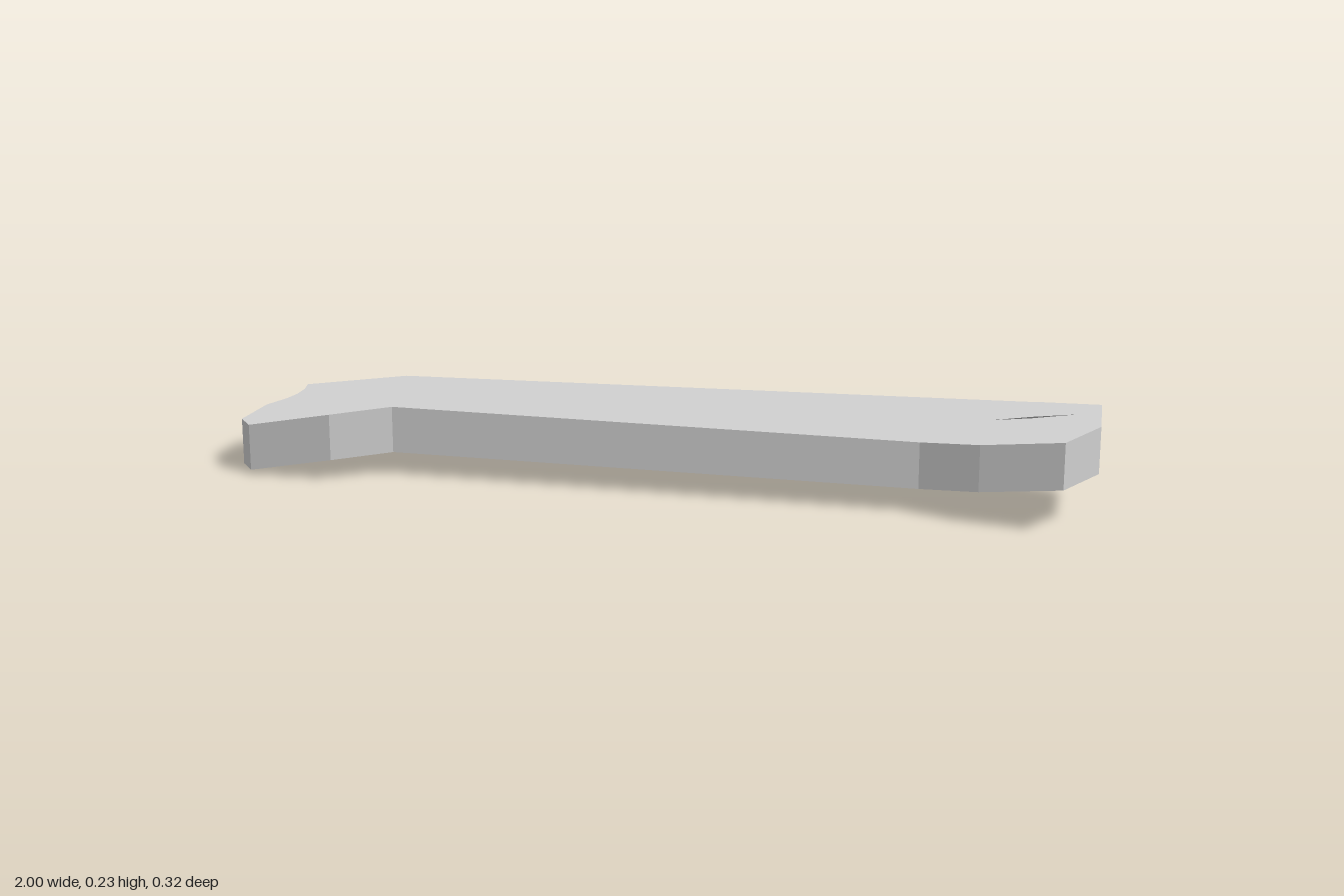
import * as THREE from 'three';

// Outline of the bar's underside: x, y, z, anticlockwise from above
const outline = [
  // scooped notch
  [-0.91, 0.02, -0.125], [-0.905, 0.021, -0.09], [-0.913, 0.019, -0.055], [-0.93, 0.016, -0.027], [-0.97, 0.007, 0],
  // drooping end
  [-1, 0, 0.09], [-0.96, 0.01, 0.152], [-0.76, 0.053, 0.16], [-0.63, 0.058, 0.09],
  // raised end
  [0.6, 0.06, 0.07], [0.74, 0.08, 0.113], [0.93, 0.11, 0.14], [1, 0.12, 0.047],
  [0.99, 0.12, -0.1], [0.84, 0.095, -0.16], [0.66, 0.067, -0.115], [-0.66, 0.06, -0.125],
];
const thickness = 0.112;

// How the bent top and bottom fold into facets
const topFacets = [
  [13, 14, 15], [13, 15, 16], [9, 13, 16], [9, 10, 13], [10, 11, 13], [11, 12, 13], [5, 8, 9], [5, 9, 16],
  [5, 6, 7], [5, 7, 8], [0, 1, 16], [1, 2, 16], [2, 3, 16], [3, 4, 16], [4, 5, 16],
];
const bottomFacets = [
  [12, 13, 14], [12, 14, 15], [9, 10, 12], [10, 11, 12], [0, 15, 16], [0, 12, 15], [0, 9, 12], [0, 8, 9],
  [5, 6, 7], [5, 7, 8], [0, 1, 8], [1, 2, 8], [2, 3, 8], [3, 4, 8], [4, 5, 8],
];

// Loose triangles; normalY, when given, shades the whole face as one flat sheet
function facetGeometry(triangles, normalY) {
  const geometry = new THREE.BufferGeometry();
  geometry.setAttribute('position', new THREE.Float32BufferAttribute(triangles.flat(2), 3));
  geometry.computeVertexNormals();
  if (normalY) {
    const normal = geometry.attributes.normal;
    for (let i = 0; i < normal.count; i++) normal.setXYZ(i, 0, normalY, 0);
  }
  return geometry;
}

export function createModel() {
  const group = new THREE.Group();
  group.name = 'bentBar';
  const grey = new THREE.MeshStandardMaterial({ color: 0xd0d0d0, name: 'light grey' });
  const dark = new THREE.MeshStandardMaterial({ color: 0x666666, name: 'dark grey', side: THREE.DoubleSide });

  const add = (name, triangles, material, normalY) => {
    const mesh = new THREE.Mesh(facetGeometry(triangles, normalY), material);
    mesh.name = name;
    group.add(mesh);
  };

  const low = outline;
  const high = outline.map(([x, y, z]) => [x, y + thickness, z]);

  add('topFace', topFacets.map((f) => f.map((i) => high[i])), grey, 1);
  add('bottomFace', bottomFacets.map(([a, b, c]) => [low[a], low[c], low[b]]), grey, -1);

  // Side walls around the outline
  const walls = [];
  low.forEach((p, i) => {
    const j = (i + 1) % low.length;
    walls.push([p, low[j], high[j]], [p, high[j], high[i]]);
  });
  add('sideWalls', walls, grey);

  // Narrow slit mark on the raised end
  const a = [0.75, 0.205, -0.02], b = [0.84, 0.217, -0.018], c = [0.94, 0.228, -0.035], d = [0.84, 0.217, -0.028];
  add('slit', [[a, b, d], [b, c, d]], dark, 1);

  return group;
}
